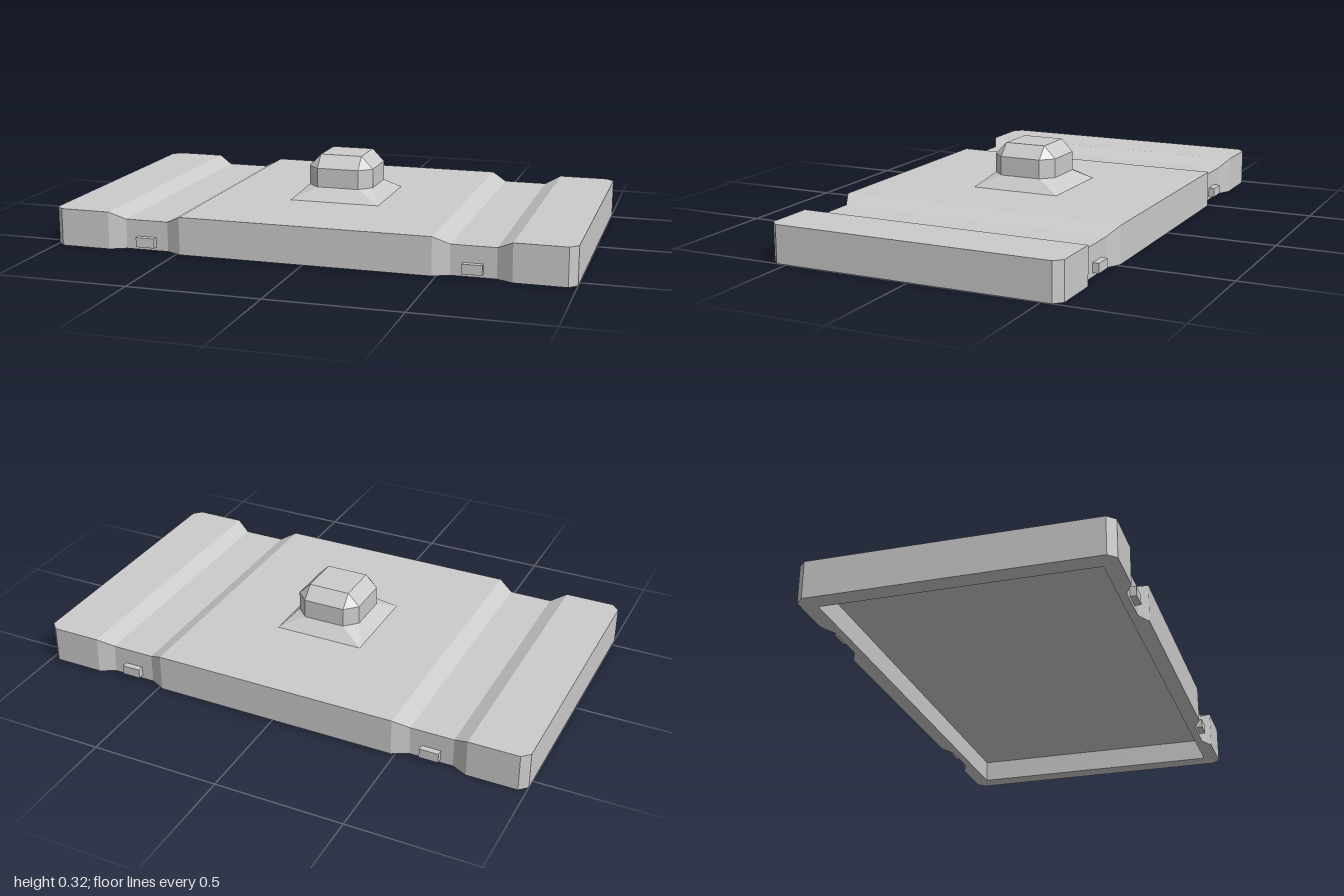
import * as THREE from 'three';

const material = new THREE.MeshStandardMaterial({ color: 0xcccccc, flatShading: true });

function addMesh(parent, geometry, name) {
  const mesh = new THREE.Mesh(geometry, material);
  mesh.name = name;
  parent.add(mesh);
  return mesh;
}

// Geometry from quads with corners counter-clockwise as seen from outside
function fromQuads(quads) {
  const points = quads.flatMap(([a, b, c, d]) => [a, b, c, a, c, d]);
  const geometry = new THREE.BufferGeometry();
  geometry.setAttribute('position', new THREE.Float32BufferAttribute(points.flat(), 3));
  geometry.computeVertexNormals();
  return geometry;
}

// Plate stations for the +x half: x, half depth, top height
const half = [
  [0.485, 0.57, 0.145], [0.545, 0.54, 0.115], [0.715, 0.54, 0.115],
  [0.775, 0.57, 0.145], [0.97, 0.57, 0.145], [1, 0.54, 0.145],
];
const stations = [...half.map(([x, z, y]) => [-x, z, y]).reverse(), ...half];
const RX = 0.925, RZ = 0.51, RECESS = 0.087;

// Top and sides, lofted along x, with the two shallow grooves
function plateShell() {
  const quads = [];
  for (let i = 0; i < stations.length - 1; i++) {
    const [xa, za, ya] = stations[i], [xb, zb, yb] = stations[i + 1];
    quads.push(
      [[xa, 0, za], [xb, 0, zb], [xb, yb, zb], [xa, ya, za]],
      [[xa, ya, za], [xb, yb, zb], [xb, yb, -zb], [xa, ya, -za]],
      [[xb, 0, -zb], [xa, 0, -za], [xa, ya, -za], [xb, yb, -zb]],
    );
  }
  for (const s of [1, -1]) {
    const [, z, y] = half[half.length - 1];
    quads.push([[s, 0, s * z], [s, 0, -s * z], [s, y, -s * z], [s, y, s * z]]);
  }
  return fromQuads(quads);
}

// Flat rim on the ground around the recess
function bottomRim() {
  const outline = [
    ...stations.map(([x, z]) => new THREE.Vector2(x, -z)),
    ...[...stations].reverse().map(([x, z]) => new THREE.Vector2(x, z)),
  ];
  const shape = new THREE.Shape(outline);
  shape.holes.push(new THREE.Path([
    new THREE.Vector2(-RX, -RZ), new THREE.Vector2(-RX, RZ),
    new THREE.Vector2(RX, RZ), new THREE.Vector2(RX, -RZ),
  ]));
  return new THREE.ShapeGeometry(shape).rotateX(Math.PI / 2);
}

// Inward-facing walls and ceiling of the hollow underside
function recess() {
  const corners = [[-RX, -RZ], [RX, -RZ], [RX, RZ], [-RX, RZ]];
  const quads = corners.map(([x, z], i) => {
    const [x2, z2] = corners[(i + 1) % 4];
    return [[x, 0, z], [x2, 0, z2], [x2, RECESS, z2], [x, RECESS, z]];
  });
  quads.push(corners.map(([x, z]) => [x, RECESS, z]));
  return fromQuads(quads);
}

// Eight-point ring; a equals b gives a square with doubled corners
function ring(y, a, b) {
  return [
    [a, b], [a, -b], [b, -a], [-b, -a], [-a, -b], [-a, b], [-b, a], [b, a],
  ].map(([x, z]) => [x, y, z]);
}

function loft(rings, cap) {
  const quads = [];
  for (let r = 0; r < rings.length - 1; r++) {
    const low = rings[r], high = rings[r + 1];
    for (let i = 0; i < 8; i++) {
      const j = (i + 1) % 8;
      // Start at the upper corner so either triangle may collapse cleanly
      quads.push([high[i], low[i], low[j], high[j]]);
    }
  }
  if (cap) {
    const top = rings[rings.length - 1];
    quads.push([top[0], top[2], top[4], top[6]]);
  }
  return fromQuads(quads);
}

export function createModel() {
  const group = new THREE.Group();
  group.name = 'plateWithKnob';

  const plate = new THREE.Group();
  plate.name = 'plate';
  group.add(plate);
  addMesh(plate, plateShell(), 'plateShell');
  addMesh(plate, bottomRim(), 'bottomRim');
  addMesh(plate, recess(), 'undersideRecess');

  // Flared foot and bevelled head of the knob
  const knob = new THREE.Group();
  knob.name = 'knob';
  group.add(knob);
  const neck = ring(0.193, 0.13, 0.083);
  addMesh(knob, loft([ring(0.145, 0.178, 0.178), neck], false), 'knobFoot');
  addMesh(knob, loft([neck, ring(0.268, 0.13, 0.083), ring(0.316, 0.083, 0.083)], true), 'knobHead');

  // Small clips in the four side notches
  for (const sx of [-1, 1]) {
    for (const sz of [-1, 1]) {
      const clip = addMesh(group, new THREE.BoxGeometry(0.075, 0.037, 0.035), 'sideClip');
      clip.position.set(sx * 0.629, 0.033, sz * 0.546);
    }
  }
  return group;
}
